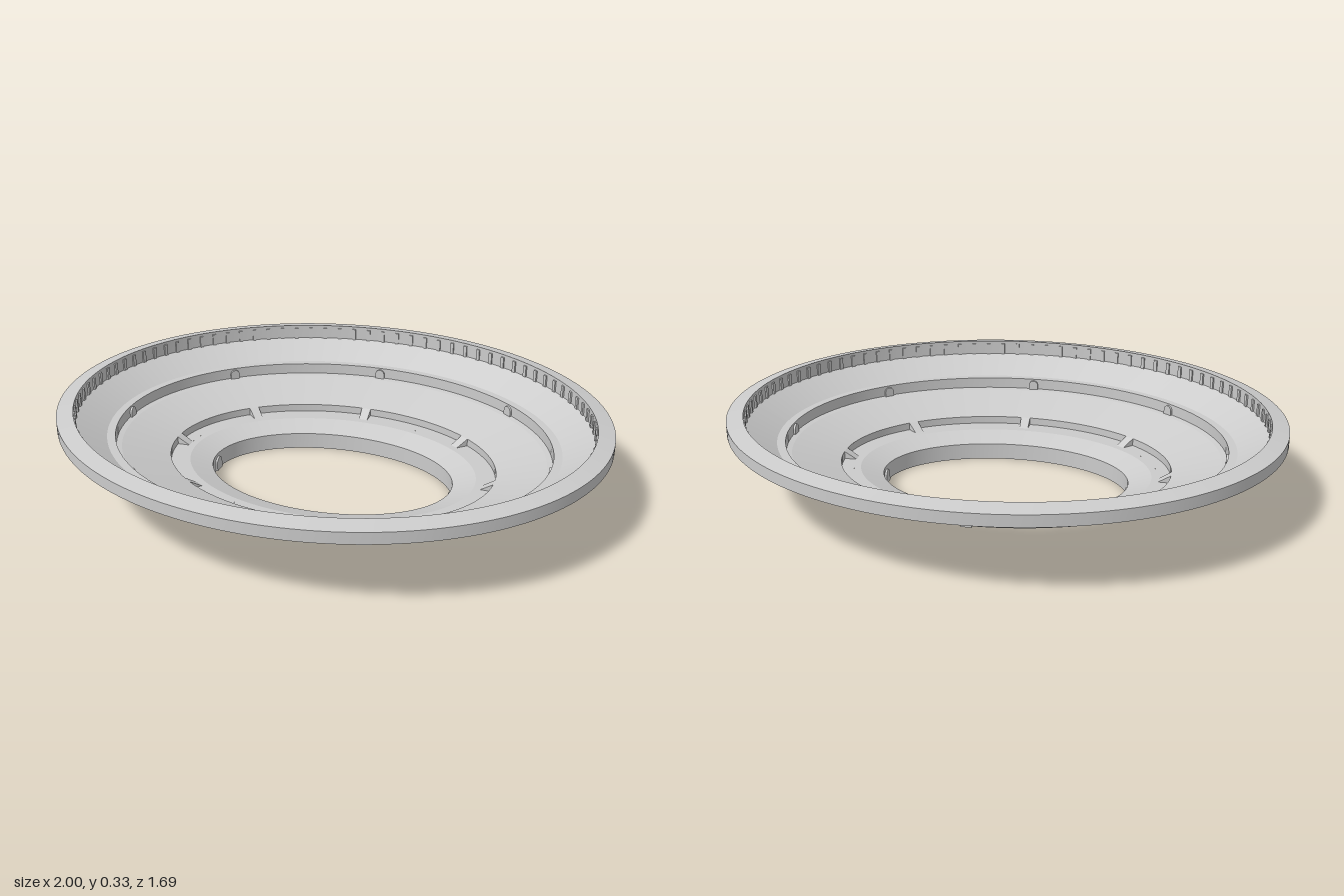
import * as THREE from 'three';

const material = new THREE.MeshStandardMaterial({ color: 0xcccccc, side: THREE.DoubleSide });
const OFFSET = 0.153; // every oval is this much shorter in z than in x

// Point on the oval of half-width a, at angle t and height y
const ovalPoint = (a, y, t) => new THREE.Vector3(a * Math.cos(t), y, (a - OFFSET) * Math.sin(t));

function addMesh(group, geometry, name) {
  const mesh = new THREE.Mesh(geometry, material);
  mesh.name = name;
  group.add(mesh);
  return mesh;
}

// Smooth strip between two [half-width, height] ovals, over an angle range
function strip(group, name, p, q, t0 = 0, t1 = Math.PI * 2, segments = 160) {
  const positions = [], index = [];
  for (let i = 0; i <= segments; i++) {
    const t = t0 + (t1 - t0) * i / segments;
    positions.push(...ovalPoint(p[0], p[1], t).toArray(), ...ovalPoint(q[0], q[1], t).toArray());
    if (i < segments) {
      const k = i * 2;
      index.push(k, k + 1, k + 2, k + 1, k + 3, k + 2);
    }
  }
  const g = new THREE.BufferGeometry();
  g.setAttribute('position', new THREE.Float32BufferAttribute(positions, 3));
  g.setIndex(index);
  g.computeVertexNormals();
  // Make normals face up or toward the middle
  return addMesh(group, g, name);
}

// Put an object on an oval, its local z pointing outward
function placeOnOval(object, a, y, t) {
  object.position.copy(ovalPoint(a, y, t));
  object.rotation.y = Math.atan2(Math.cos(t) / a, Math.sin(t) / (a - OFFSET));
}

// Round-topped doorway panel standing on its base
function archGeometry(width, height, depth) {
  const r = width / 2;
  const s = new THREE.Shape();
  s.moveTo(-r, 0);
  s.lineTo(r, 0);
  s.lineTo(r, height - r);
  s.absarc(0, height - r, r, 0, Math.PI, false);
  s.closePath();
  const g = new THREE.ExtrudeGeometry(s, { depth, bevelEnabled: false, curveSegments: 8 });
  return g.translate(0, 0, -depth / 2);
}

export function createModel() {
  const model = new THREE.Group();
  model.name = 'tieredOvalBowl';

  // Outer rim: closed band with a gently rising top
  const rim = [[0.94, 0.275], [1, 0.275], [1, 0.317], [0.94, 0.33], [0.94, 0.275]];
  for (let i = 0; i < 4; i++) strip(model, 'rim', rim[i], rim[i + 1]);

  // Upper and middle tiers, from the rim in to the ramp ring
  const tiers = [
    ['upperSlope', [0.94, 0.275], [0.83, 0.214]],
    ['upperLedge', [0.83, 0.214], [0.8, 0.214]],
    ['upperWall', [0.8, 0.214], [0.8, 0.173]],
    ['middleLedge', [0.8, 0.173], [0.78, 0.17]],
    ['middleSlope', [0.78, 0.17], [0.605, 0.118]],
    ['lowerLedge', [0.56, 0.09], [0.535, 0.09]],
    ['lowerSlope', [0.535, 0.09], [0.452, 0.062]],
    ['baseWall', [0.452, 0.062], [0.452, 0]],
  ];
  for (const [name, p, q] of tiers) strip(model, name, p, q);

  // Lower wall, interrupted by eight short ramps
  const top = [0.605, 0.118], foot = [0.605, 0.09], toe = [0.56, 0.09];
  for (let i = 0; i < 8; i++) {
    const t = i * Math.PI / 4;
    const half = t => 0.018 / Math.hypot(0.605 * Math.sin(t), 0.452 * Math.cos(t));
    const next = t + Math.PI / 4;
    strip(model, 'lowerWall', top, foot, t + half(t), next - half(next), 20);
    strip(model, 'lowerLedgeEdge', foot, toe, t + half(t), next - half(next), 20);
    strip(model, 'ramp', top, toe, t - half(t), t + half(t), 2);
    for (const side of [-1, 1]) {
      const corners = [top, foot, toe].map(p => ovalPoint(p[0], p[1], t + side * half(t)));
      const cheek = new THREE.BufferGeometry().setFromPoints(corners);
      cheek.computeVertexNormals();
      addMesh(model, cheek, 'rampCheek');
    }
  }

  // Eight doorways in the upper wall
  const doorway = archGeometry(0.036, 0.036, 0.016);
  for (let i = 0; i < 8; i++) placeOnOval(addMesh(model, doorway, 'doorway'), 0.8, 0.172, i * Math.PI / 4);

  // Two larger doorways at the ends of the base wall
  const baseDoor = archGeometry(0.045, 0.05, 0.012);
  for (const t of [0, Math.PI]) placeOnOval(addMesh(model, baseDoor, 'baseDoorway'), 0.45, 0, t);

  // Row of small posts around the inside of the rim
  const post = new THREE.BoxGeometry(0.014, 0.045, 0.012);
  for (let i = 0; i < 96; i++) {
    placeOnOval(addMesh(model, post, 'rimPost'), 0.94, 0.297, (i + 0.5) * Math.PI / 48);
  }
  return model;
}
